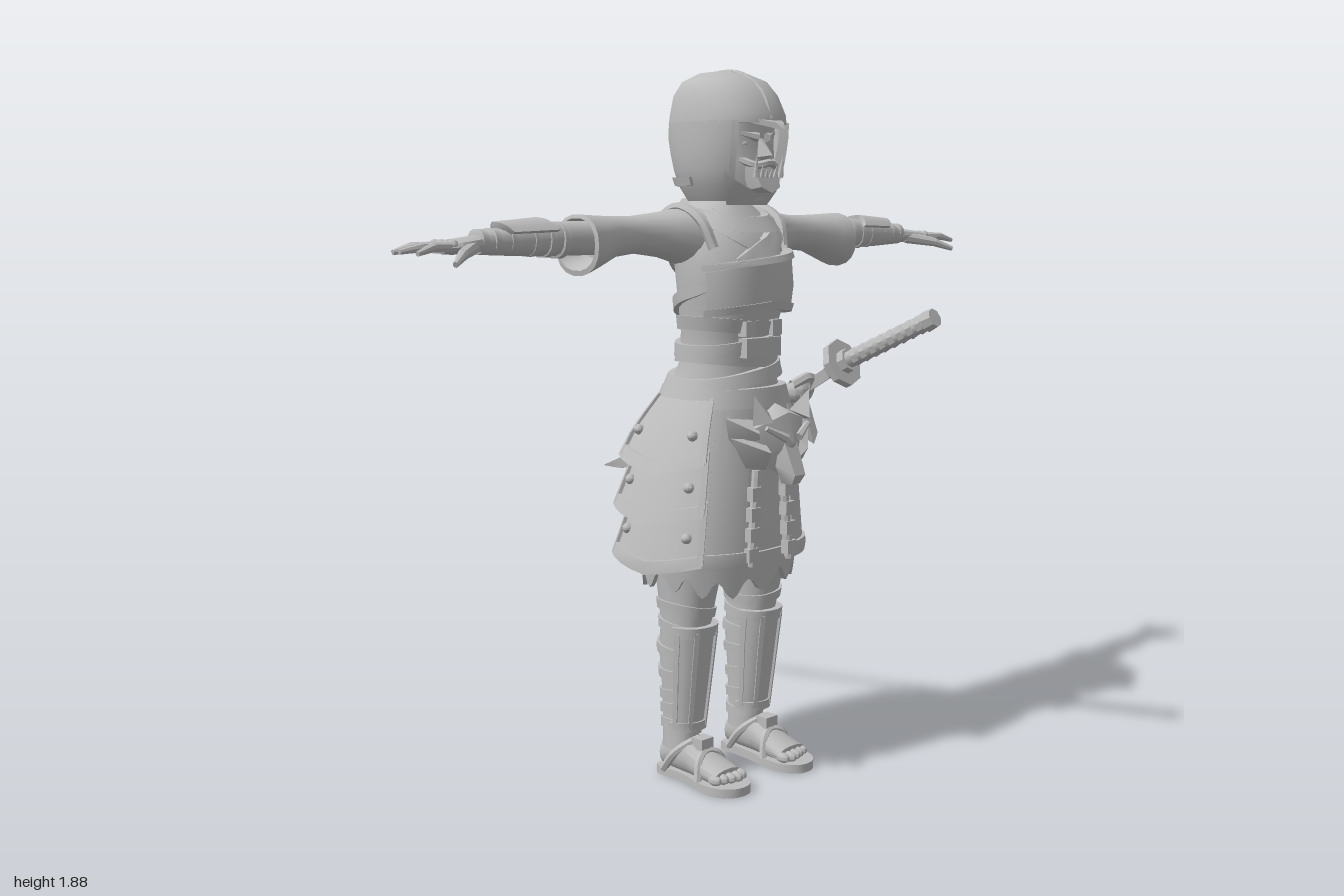
import * as THREE from 'three';
import { toCreasedNormals } from 'three/addons/utils/BufferGeometryUtils.js';
import { ConvexGeometry } from 'three/addons/geometries/ConvexGeometry.js';

// Cross-sections by height: [y, half width, back z, front z]
const BODY = [[0.5, 0.215, -0.13, 0.22], [0.62, 0.236, -0.12, 0.232], [0.8, 0.213, -0.11, 0.23], [0.95, 0.187, -0.1, 0.22],
  [1.05, 0.152, -0.06, 0.2], [1.12, 0.13, -0.03, 0.185], [1.2, 0.13, -0.025, 0.195], [1.29, 0.15, -0.025, 0.22],
  [1.38, 0.155, -0.035, 0.22], [1.45, 0.15, -0.045, 0.19], [1.5, 0.12, -0.045, 0.155], [1.54, 0.075, -0.03, 0.125]];
const HEAD = [[1.52, 0.075, -0.01, 0.17], [1.57, 0.112, -0.04, 0.2], [1.63, 0.13, -0.06, 0.22], [1.7, 0.135, -0.075, 0.235],
  [1.76, 0.135, -0.072, 0.235], [1.81, 0.126, -0.06, 0.208], [1.845, 0.107, -0.035, 0.175], [1.866, 0.066, 0.01, 0.125], [1.873, 0.015, 0.04, 0.08]];
const LEG = [[0.08, 0.043, -0.02, 0.085], [0.15, 0.042, -0.018, 0.085], [0.25, 0.048, -0.02, 0.1], [0.36, 0.056, -0.028, 0.115],
  [0.43, 0.058, -0.018, 0.125], [0.5, 0.066, -0.025, 0.14], [0.62, 0.08, -0.04, 0.17]];

const pw = (v) => Math.sign(v) * Math.abs(v) ** 0.88;
// Point on a table's surface; angle runs from the front (+z) towards +x
function surf(table, a, y, off = 0) {
  let i = 0;
  while (i < table.length - 2 && y > table[i + 1][0]) i++;
  const p = table[i], q = table[i + 1], t = THREE.MathUtils.clamp((y - p[0]) / (q[0] - p[0]), 0, 1);
  const [rx, b, f] = [1, 2, 3].map((k) => p[k] + (q[k] - p[k]) * t);
  return [(rx + off) * pw(Math.sin(a)), y, (b + f) / 2 + ((f - b) / 2 + off) * pw(Math.cos(a))];
}

// Closed loft of ellipses: [position, c1, c2, r1, r2] along y (x,z), x (z,y) or z (y,x)
function loft(rows, n = 16, axis = 'y') {
  const pos = [], idx = [];
  const put = (x, y, z) => pos.push(...(axis === 'y' ? [x, y, z] : axis === 'x' ? [y, z, x] : [z, x, y]));
  for (const [p, c1, c2, r1, r2] of rows)
    for (let j = 0; j < n; j++) {
      const a = (j / n) * Math.PI * 2, s = pw(Math.sin(a)), c = pw(Math.cos(a));
      if (axis === 'x') put(c2 + r2 * s, p, c1 + r1 * c, 0);
      else put(c1 + r1 * s, p, c2 + r2 * c);
    }
  const m = rows.length, last = rows[m - 1];
  for (const [p, c1, c2] of [rows[0], last]) axis === 'x' ? put(c2, p, c1) : put(c1, p, c2);
  for (let j = 0; j < n; j++) {
    const k = (j + 1) % n;
    for (let i = 0; i < m - 1; i++) {
      const a = i * n + j, b = i * n + k;
      idx.push(a, b, b + n, a, b + n, a + n);
    }
    idx.push(m * n, k, j, m * n + 1, (m - 1) * n + j, (m - 1) * n + k);
  }
  // Along x the cross-section is given as (z, y), so swap back to the cyclic order
  if (axis === 'x') {
    for (let i = 0; i < pos.length; i += 3) [pos[i + 1], pos[i + 2]] = [pos[i + 2], pos[i + 1]];
    idx.reverse();
  }
  const g = new THREE.BufferGeometry();
  g.setAttribute('position', new THREE.Float32BufferAttribute(pos, 3));
  g.setIndex(idx);
  return g;
}
const tableLoft = (t, off = 0, n = 24) => loft(t.map(([y, rx, b, f]) => [y, 0, (b + f) / 2, rx + off, (f - b) / 2 + off]), n);

// Box bent by a rule (u, v, w in 0..1)
function bent(nu, nv, fn) {
  const g = new THREE.BoxGeometry(1, 1, 1, nu, nv, 1), p = g.attributes.position;
  for (let i = 0; i < p.count; i++) p.setXYZ(i, ...fn(p.getX(i) + 0.5, p.getY(i) + 0.5, p.getZ(i) + 0.5));
  return g;
}
// Raised band on a surface from (a0,y0) to (a1,y1), with a0 < a1
const band = (t, a0, y0, a1, y1, h, off, wave = () => 0) => bent(Math.max(8, Math.ceil((a1 - a0) * 8)), 2, (u, v, w) =>
  surf(t, a0 + (a1 - a0) * u, y0 + (y1 - y0) * u + (v - 0.5) * h + wave(u, v), w * (off + 0.012) - 0.012));

// Tapered rod between two points
function rod(p, q, r1, r2 = r1, n = 8) {
  const a = new THREE.Vector3(...p), d = new THREE.Vector3(...q).sub(a), g = new THREE.CylinderGeometry(r2, r1, d.length(), n);
  g.applyQuaternion(new THREE.Quaternion().setFromUnitVectors(new THREE.Vector3(0, 1, 0), d.clone().normalize()));
  return g.translate(...a.addScaledVector(d, 0.5).toArray());
}
const ball = (x, y, z, r, sy = 1, sz = 1) => new THREE.SphereGeometry(r, 10, 7).scale(1, sy, sz).translate(x, y, z);
const box = (x, y, z, w, h, d) => new THREE.BoxGeometry(w, h, d).translate(x, y, z);
const hull = (pts) => new ConvexGeometry(pts.map((p) => new THREE.Vector3(...p)));
const tube = (pts, r) => new THREE.TubeGeometry(new THREE.CatmullRomCurve3(pts.map((p) => new THREE.Vector3(...p))), 20, r, 6);

export function createModel() {
  const root = new THREE.Group();
  root.name = 'armouredWarrior';
  const grey = new THREE.MeshStandardMaterial({ color: 0xbcbcbc, side: THREE.DoubleSide });
  grey.name = 'clayGrey';

  function add(name, geo, mirror = false) {
    const g = geo.index ? geo.toNonIndexed() : geo.clone();
    g.deleteAttribute('uv');
    if (mirror) {
      g.scale(-1, 1, 1);
      const p = g.attributes.position, v = new THREE.Vector3(), w = new THREE.Vector3();
      for (let i = 0; i < p.count; i += 3) {
        v.fromBufferAttribute(p, i + 1); w.fromBufferAttribute(p, i + 2);
        p.setXYZ(i + 1, w.x, w.y, w.z); p.setXYZ(i + 2, v.x, v.y, v.z);
      }
    }
    const m = new THREE.Mesh(toCreasedNormals(g, 0.7), grey);
    m.name = name;
    root.add(m);
  }
  const pair = (name, g) => { add(name + 'Left', g); add(name + 'Right', g, true); };

  // Torso, skirt core and ragged hem
  add('torso', tableLoft(BODY.filter((r) => r[0] > 1)));
  add('skirt', tableLoft(BODY.filter((r) => r[0] > 0.55 && r[0] < 1.1), -0.012));
  add('raggedHem', bent(84, 1, (u, v, w) => surf(BODY, u * Math.PI * 2, v ? 0.63 : 0.545 - 0.024 * Math.cos(u * Math.PI * 28) + 0.01 * Math.sin(u * Math.PI * 6), w * 0.012 - 0.016)));

  // Jacket collars, chest plate and straps
  add('collarOver', band(BODY, -0.55, 1.37, 0.95, 1.5, 0.05, 0.016));
  add('collarUnder', band(BODY, -0.95, 1.5, 0.35, 1.39, 0.045, 0.01));
  add('neckScarf', band(BODY, 0, 1.505, Math.PI * 2, 1.505, 0.04, 0.018, (u) => -0.025 * Math.cos(u * 2 * Math.PI)));
  add('chestPlate', band(BODY, -1.15, 1.335, 1.15, 1.335, 0.1, 0.02, (u, v) => (v > 0.9 ? 0.025 * (2 * u - 1) : -0.02 * Math.abs(2 * u - 1))));
  add('chestTrim', band(BODY, -1.2, 1.275, 1.2, 1.275, 0.02, 0.027, (u) => -0.02 * Math.abs(2 * u - 1)));
  add('chestTopTrim', band(BODY, -1.2, 1.37, 1.2, 1.41, 0.016, 0.026));
  pair('sideStrap', band(BODY, 1.1, 1.33, 2.7, 1.25, 0.03, 0.013));
  pair('backStrap', band(BODY, 1.75, 1.46, Math.PI + 0.3, 1.3, 0.035, 0.014));
  pair('shoulderStrap', tube([[0.13, 1.42, 0.16], [0.145, 1.49, 0.13], [0.145, 1.525, 0.05], [0.13, 1.49, -0.03], [0.1, 1.42, -0.045]], 0.014));
  add('backBuckle', box(0, 1.31, -0.035, 0.07, 0.045, 0.02));

  // Waist wraps and belt
  [[1.09, 0.018, 0.035], [1.13, 0.012, -0.02], [1.17, 0.014, 0.025], [1.215, 0.008, -0.02]].forEach(([y, off, tilt], i) =>
    add('waistWrap' + i, band(BODY, 0, y, Math.PI * 2, y, 0.036, off, (u) => tilt * Math.sin(u * 2 * Math.PI) * 0.7)));
  add('belt', band(BODY, 0, 1.035, Math.PI * 2, 1.035, 0.05, 0.02));
  add('bellyBuckle', box(0, 1.165, 0.2, 0.13, 0.05, 0.03));
  pair('bellyClasp', box(0.05, 1.215, 0.2, 0.035, 0.04, 0.03));

  // Smooth skirt panels with hem borders
  [[0.3, 1.3], [1.33, 2.42], [-0.9, -0.3]].forEach(([a, b], i) => {
    add('skirtPanel' + i, band(BODY, a, 0.83, b, 0.83, 0.42, 0.01));
    add('skirtBorder' + i, band(BODY, a, 0.62, b, 0.62, 0.04, 0.018));
    add('skirtEdge' + i, band(BODY, a, 0.83, a + 0.07, 0.83, 0.42, 0.017));
  });
  // Hanging front cords
  pair('frontCord', rod([0.05, 0.85, 0.235], [0.075, 0.6, 0.24], 0.012));
  for (let i = 0; i < 4; i++) pair('cordPlate' + i, box(0.062 + i * 0.004, 0.79 - i * 0.053, 0.24, 0.036, 0.036, 0.025));

  // Stacked hip plates on the right side and back, each tier flaring outward
  [[-1.5, 0], [-2.98, -0.014]].forEach(([c, tuck], col) => {
    for (let i = 0; i < 3; i++) {
      const top = 1.04 - i * 0.13, h = 0.155, half = 0.6 + i * 0.02, base = [0.018, 0.03, 0.026][i] + tuck / 2, flare = [0.055, 0.042, 0.036][i] + tuck / 2;
      const plate = (lo, hi, out) => bent(8, 2, (u, v, w) => {
        const k = lo + (hi - lo) * v, s = Math.abs(2 * u - 1);
        return surf(BODY, c + (2 * u - 1) * half, top - h + h * k - (1 - k) * 0.03 * (1 - s), (1 - k) * flare + base + (w - 1) * 0.022 + out);
      });
      add(`hipPlate${col}${i}`, plate(0, 1, 0));
      add(`hipPlateRim${col}${i}`, plate(-0.03, 0.16, 0.009));
      for (const e of [-1, 1]) {
        add(`hipRivet${col}${i}${e}`, ball(...surf(BODY, c + e * half * 0.68, top - 0.09, base + flare * 0.6), 0.014));
        add(`hipPlateSide${col}${i}${e}`, bent(1, 3, (u, v, w) => surf(BODY, c + e * half * 0.96 + (u - 0.5) * 0.07, top - h * (1 - v), (1 - v) * flare + base + 0.008 - (1 - w) * 0.025)));
      }
    }
  });

  // Wolf mask on the belt
  add('wolfHead', hull([[0.02, 1.02, 0.235], [0.02, 1.0, 0.285], [0.13, 0.95, 0.23], [-0.09, 0.95, 0.23], [0.085, 0.98, 0.275], [-0.045, 0.98, 0.275], [0.1, 0.88, 0.25], [-0.06, 0.88, 0.25], [0.02, 0.83, 0.25], [0.02, 0.92, 0.305]]));
  add('wolfMuzzle', hull([[0.045, 0.95, 0.28], [-0.005, 0.95, 0.28], [0.055, 0.86, 0.27], [-0.015, 0.86, 0.27], [0.04, 0.84, 0.325], [0, 0.84, 0.325], [0.035, 0.815, 0.31], [0.005, 0.815, 0.31], [0.02, 0.81, 0.26]]));
  for (const s of [-1, 1]) {
    const X = (d) => 0.02 + s * d;
    add('wolfEar' + s, hull([[X(0.04), 1.0, 0.25], [X(0.1), 0.97, 0.25], [X(0.07), 0.98, 0.295], [X(0.105), 1.05, 0.26]]));
    add('wolfBrow' + s, rod([X(0.022), 0.935, 0.298], [X(0.08), 0.965, 0.28], 0.012, 0.007, 6));
    add('wolfCheek' + s, hull([[X(0.06), 0.93, 0.25], [X(0.15), 0.94, 0.22], [X(0.05), 0.85, 0.25], [X(0.11), 0.86, 0.235], [X(0.07), 0.9, 0.29]]));
    add('wolfRuff' + s, hull([[X(0.06), 0.98, 0.23], [X(0.15), 0.99, 0.2], [X(0.13), 0.91, 0.2], [X(0.06), 0.9, 0.24], [X(0.09), 0.95, 0.265]]));
  }

  // Helmet, face and fanged mask
  add('helmetDome', tableLoft([[1.735, 0.137, -0.076, 0.238], ...HEAD.slice(4)]));
  add('helmetSides', bent(28, 5, (u, v, w) => surf(HEAD, 0.72 + u * (Math.PI * 2 - 1.44), 1.54 + v * 0.2, w * 0.02 - 0.018)));
  add('helmetChin', bent(12, 2, (u, v, w) => surf(HEAD, -0.9 + u * 1.8, 1.53 + v * (0.035 + 0.05 * (2 * u - 1) ** 2), w * 0.03 - 0.02)));
  pair('helmetFrame', bent(1, 5, (u, v, w) => surf(HEAD, 0.68 + u * 0.12, 1.57 + v * 0.17, w * 0.022 - 0.015)));
  add('helmetCrest', tube([[0, 1.745, 0.234], [0, 1.81, 0.208], [0, 1.864, 0.13], [0, 1.87, 0.05], [0, 1.845, -0.035], [0, 1.76, -0.072], [0, 1.66, -0.067]], 0.006));
  add('helmetNape', band(HEAD, 1.6, 1.59, 4.68, 1.59, 0.022, 0.012));
  add('brim', hull([[-0.07, 1.752, 0.2], [0.07, 1.752, 0.2], [-0.07, 1.74, 0.2], [0.07, 1.74, 0.2], [-0.015, 1.735, 0.265], [0.015, 1.735, 0.265], [0, 1.715, 0.282]]));
  add('face', loft([[1.54, 0, 0.11, 0.05, 0.085], [1.58, 0, 0.11, 0.075, 0.1], [1.64, 0, 0.1, 0.098, 0.108], [1.69, 0, 0.1, 0.105, 0.1], [1.74, 0, 0.1, 0.105, 0.105]], 20));
  add('nose', hull([[-0.008, 1.71, 0.19], [0.008, 1.71, 0.19], [-0.02, 1.65, 0.2], [0.02, 1.65, 0.2], [0, 1.655, 0.24], [0, 1.64, 0.21]]));
  pair('brow', rod([0.015, 1.7, 0.205], [0.075, 1.715, 0.17], 0.012, 0.008, 6));
  pair('eye', ball(0.042, 1.685, 0.18, 0.017, 0.55, 0.9));
  add('maskJaw', hull([[-0.07, 1.62, 0.14], [0.07, 1.62, 0.14], [-0.045, 1.63, 0.215], [0.045, 1.63, 0.215], [-0.035, 1.575, 0.235], [0.035, 1.575, 0.235], [0, 1.56, 0.24], [-0.05, 1.56, 0.15], [0.05, 1.56, 0.15]]));
  add('maskLip', tube([[-0.06, 1.645, 0.18], [-0.035, 1.63, 0.215], [0, 1.636, 0.23], [0.035, 1.63, 0.215], [0.06, 1.645, 0.18]], 0.01));
  [[0.045, 1.6, 1.655, 0.009], [0.024, 1.6, 1.63, 0.007], [0.008, 1.6, 1.622, 0.005]].forEach(([x, a, b, r], i) => pair('fang' + i, rod([x, a, 0.225], [x * 1.1, b, 0.232], r, 0.001, 6)));
  // Curled ribbon ornament on one side
  add('ribbonLoop', tube([[0.13, 1.64, 0.08], [0.148, 1.63, 0.02], [0.16, 1.65, -0.04], [0.155, 1.71, -0.07], [0.125, 1.77, -0.075]], 0.01));
  add('ribbonStrand', tube([[0.135, 1.63, 0.07], [0.15, 1.67, 0.03], [0.16, 1.72, -0.01], [0.14, 1.75, -0.06]], 0.009));
  add('ribbonKnot', ball(0.135, 1.635, 0.075, 0.02));

  // Sleeves, forearms and bracers
  pair('sleeve', loft([[0.05, 0.06, 1.45, 0.095, 0.07], [0.13, 0.05, 1.45, 0.088, 0.075], [0.2, 0.035, 1.455, 0.067, 0.058], [0.29, 0.028, 1.456, 0.053, 0.047], [0.37, 0.032, 1.452, 0.059, 0.051],
    [0.44, 0.038, 1.44, 0.074, 0.066], [0.482, 0.04, 1.433, 0.081, 0.075], [0.485, 0.04, 1.435, 0.07, 0.064], [0.42, 0.035, 1.445, 0.05, 0.045]], 18, 'x'));
  pair('forearm', loft([[0.4, 0.03, 1.45, 0.045, 0.042], [0.55, 0.03, 1.45, 0.045, 0.042], [0.66, 0.03, 1.447, 0.04, 0.037], [0.78, 0.03, 1.442, 0.03, 0.026]], 14, 'x'));
  [0.54, 0.58, 0.625, 0.69, 0.735, 0.77].forEach((x, i) => {
    const r = 0.049 - (x - 0.54) * 0.07, t = 0.012;
    pair('armWrap' + i, loft([[x - t, 0.03, 1.447, r - 0.008, r - 0.012], [x - t * 0.7, 0.03, 1.447, r, r - 0.004], [x + t * 0.7, 0.03, 1.447, r, r - 0.004], [x + t, 0.03, 1.447, r - 0.008, r - 0.012]], 14, 'x'));
  });
  pair('bracer', bent(6, 6, (u, v, w) => {
    const a = (v - 0.5) * 2.2, r = 0.04 + 0.014 * w - 0.01 * u;
    return [0.6 + u * 0.13 - 0.03 * Math.abs(2 * v - 1), 1.448 + r * Math.cos(a), 0.03 - r * Math.sin(a) * 1.15];
  }));

  // Hands
  pair('palm', loft([[0.76, 0.03, 1.443, 0.028, 0.022], [0.8, 0.032, 1.44, 0.038, 0.02], [0.85, 0.035, 1.436, 0.048, 0.018], [0.89, 0.035, 1.434, 0.044, 0.013]], 12, 'x'));
  [[-0.002, 0.965, -0.032, 1.424], [0.022, 0.99, 0.008, 1.426], [0.046, 1.0, 0.048, 1.428], [0.066, 0.98, 0.088, 1.424]].forEach(([z, x, z2, y], i) => {
    const mid = [(x + 0.88) / 2, 1.437, (z + z2) / 2];
    pair('finger' + i, rod([0.87, 1.436, z], mid, 0.012, 0.011));
    pair('fingertip' + i, rod(mid, [x, y, z2], 0.011, 0.006));
    pair('knuckle' + i, ball(0.87, 1.44, z, 0.014));
  });
  pair('thumbBase', rod([0.8, 1.435, 0.05], [0.87, 1.42, 0.105], 0.018, 0.013));
  pair('thumbTip', rod([0.87, 1.42, 0.105], [0.915, 1.4, 0.138], 0.013, 0.007));

  // Legs with wraps and shin guards
  const leg = (name, g) => pair(name, g.translate(0.127, 0, 0));
  leg('leg', tableLoft(LEG, 0, 16));
  [0.14, 0.19, 0.24, 0.3, 0.36, 0.42, 0.47].forEach((y, i) => leg('legWrap' + i, band(LEG, 0, y, Math.PI * 2, y, 0.026, 0.006, (u) => 0.012 * Math.sin(u * 2 * Math.PI + i))));
  leg('shinGuard', bent(8, 3, (u, v, w) => surf(LEG, -1.2 + u * 2.4, 0.15 + v * (0.25 + 0.025 * (1 - Math.abs(2 * u - 1))), w * 0.022 - 0.008)));
  [-1.15, -0.45, 0.45, 1.15].forEach((a, i) => leg('shinRib' + i, bent(1, 3, (u, v, w) => surf(LEG, a + (u - 0.5) * 0.18, 0.145 + v * 0.27, w * 0.028 - 0.008))));
  leg('kneeBand', band(LEG, -1.4, 0.415, 1.4, 0.415, 0.03, 0.018));
  leg('ankleBand', band(LEG, -1.4, 0.15, 1.4, 0.15, 0.025, 0.019));

  // Feet in sandals
  const sole = new THREE.Shape();
  sole.moveTo(-0.04, 0.025);
  sole.splineThru([[0, 0.03], [0.042, 0.015], [0.045, -0.08], [0.065, -0.2], [0.03, -0.26], [-0.03, -0.262], [-0.062, -0.2], [-0.045, -0.08], [-0.04, 0.025]].map((p) => new THREE.Vector2(...p)));
  leg('sole', new THREE.ExtrudeGeometry(sole, { depth: 0.024, bevelEnabled: false, curveSegments: 5 }).rotateX(-Math.PI / 2));
  leg('foot', loft([[-0.02, 0.055, 0, 0.035, 0.03], [0.03, 0.07, 0, 0.055, 0.042], [0.09, 0.065, 0, 0.05, 0.045], [0.15, 0.048, 0, 0.033, 0.05], [0.21, 0.037, 0, 0.022, 0.053]], 14, 'z'));
  for (let i = 0; i < 5; i++) leg('toe' + i, ball(-0.042 + i * 0.021, 0.036, 0.222 - Math.abs(i - 1.2) * 0.007, 0.014, 1, 1.6));
  leg('sandalStrapFront', tube([[-0.054, 0.02, 0.15], [-0.035, 0.075, 0.14], [0, 0.087, 0.13], [0.035, 0.075, 0.14], [0.054, 0.02, 0.15]], 0.011));
  leg('sandalStrapBack', tube([[-0.045, 0.02, 0.01], [-0.044, 0.08, 0.06], [0, 0.115, 0.1], [0.044, 0.08, 0.06], [0.045, 0.02, 0.01]], 0.011));
  leg('sandalKnot', box(0, 0.108, 0.115, 0.045, 0.03, 0.04));

  // Sword at the left hip
  const blade = new THREE.QuadraticBezierCurve3(new THREE.Vector3(0.226, 1.1, 0.27), new THREE.Vector3(0.186, 0.825, -0.165), new THREE.Vector3(0.15, 0.745, -0.58));
  add('blade', bent(24, 1, (u, v, w) => {
    const p = blade.getPoint(u), h = 0.017 * Math.min(1, (1 - u) * 12 + 0.05);
    return [p.x + (0.5 - w) * (v ? 0.013 : 0.004), p.y + (v - 0.5) * 2 * h, p.z];
  }));
  const at = (t) => [0.228 + 0.017 * t, 1.105 + 0.14 * t, 0.27 + 0.3 * t];
  add('guard', rod(at(0.02), at(0.08), 0.066, 0.066, 8));
  add('guardCollar', rod(at(-0.06), at(0.14), 0.036, 0.032, 8));
  add('grip', rod(at(0.1), at(0.98), 0.023, 0.022, 10));
  for (let i = 0; i < 8; i++) add('gripWrap' + i, rod(at(0.2 + i * 0.095), at(0.25 + i * 0.095), 0.026, 0.023, 8));
  add('pommel', rod(at(0.93), at(1.02), 0.028, 0.025, 8));
  // Sword sash with hanging ends
  add('sashKnot', ball(0.19, 1.03, 0.16, 0.035));
  add('sashLoop', tube([[0.16, 1.05, 0.17], [0.21, 1.07, 0.19], [0.225, 1.02, 0.17], [0.18, 0.99, 0.16]], 0.014));
  [0.13, 0.19].forEach((z, i) => add('sashEnd' + i, hull([[0.17, 1.03, z], [0.195, 1.03, z], [0.2, 0.9 + i * 0.03, z - 0.02], [0.215, 0.9, z - 0.02], [0.2, 0.89, z + 0.025], [0.215, 0.92, z + 0.025]])));

  return root;
}
